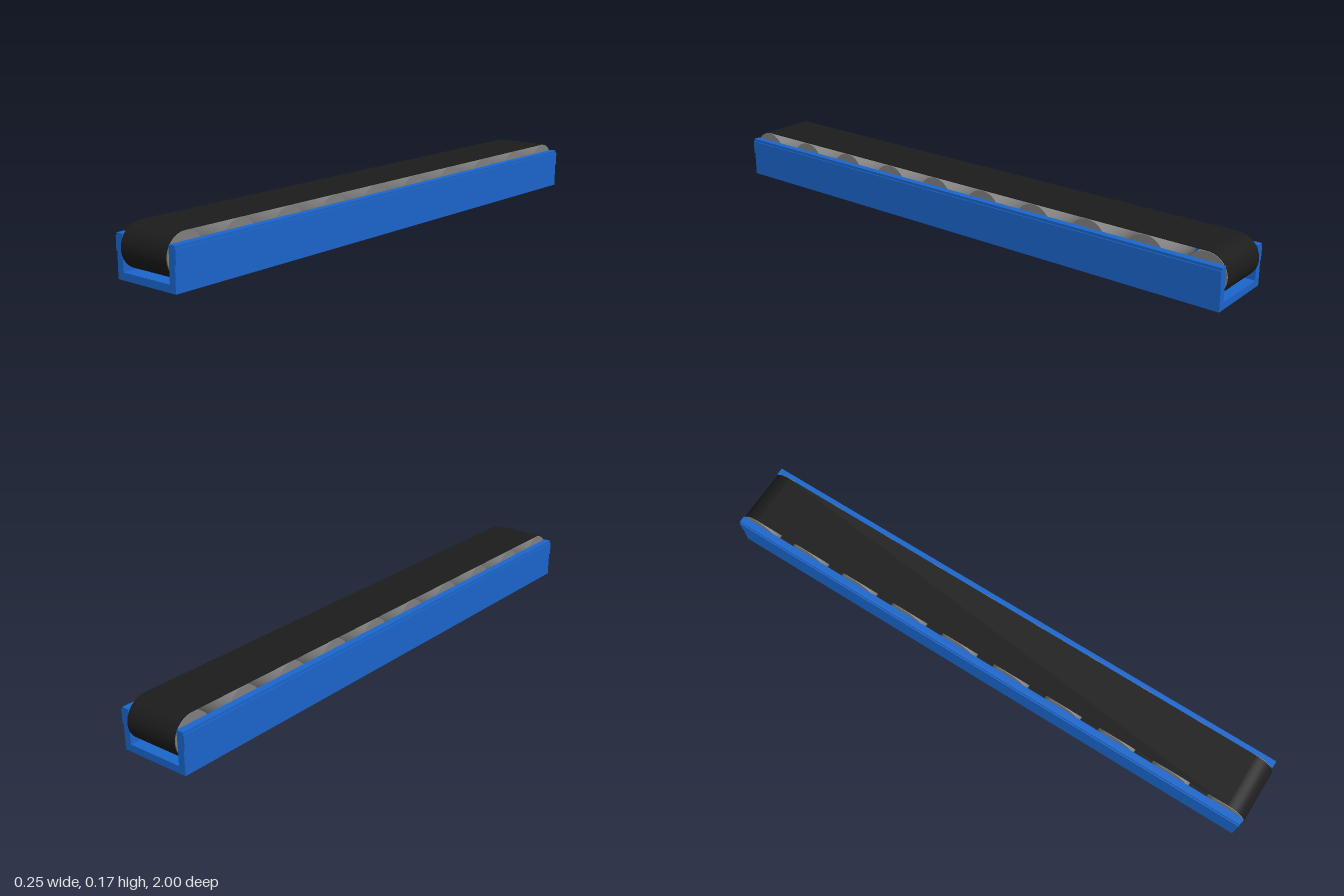
import * as THREE from 'three';

const BLUE = 0x1a66cc, BLACK = 0x1c1c1c, GREY = 0x808080;
const AXIS_Y = 0.0965, END_Z = 0.9285, BELT_R = 0.0715, BELT_T = 0.002, LENGTH = 1.984;

function addMesh(parent, name, geometry, color) {
  const mesh = new THREE.Mesh(geometry, new THREE.MeshStandardMaterial({ color }));
  mesh.name = name;
  parent.add(mesh);
  return mesh;
}

// Stadium outline in the (z, y) plane, centred on the roller axis
function stadium(target, r) {
  target.moveTo(-END_Z, -r);
  target.lineTo(END_Z, -r);
  target.absarc(END_Z, 0, r, -Math.PI / 2, Math.PI / 2, false);
  target.lineTo(-END_Z, r);
  target.absarc(-END_Z, 0, r, Math.PI / 2, Math.PI * 1.5, false);
  return target;
}

export function createModel() {
  const model = new THREE.Group();
  model.name = 'conveyor';

  // U-channel frame: floor and two walls in one profile
  const profile = new THREE.Shape();
  [[-0.123, 0], [0.123, 0], [0.123, 0.138], [0.099, 0.138],
    [0.099, 0.024], [-0.099, 0.024], [-0.099, 0.138], [-0.123, 0.138]]
    .forEach(([x, y], i) => (i ? profile.lineTo(x, y) : profile.moveTo(x, y)));
  const channel = new THREE.ExtrudeGeometry(profile, { depth: LENGTH, bevelEnabled: false });
  channel.translate(0, 0, -LENGTH / 2);
  addMesh(model, 'channelFrame', channel, BLUE);

  // Raised rails along the outside of the walls
  for (const side of [-1, 1]) {
    const rail = addMesh(model, side > 0 ? 'leftRail' : 'rightRail',
      new THREE.BoxGeometry(0.005, 0.046, LENGTH), BLUE);
    rail.position.set(side * 0.1245, 0.106, 0);
  }

  // Row of rollers
  const rollers = new THREE.Group();
  rollers.name = 'rollers';
  model.add(rollers);
  const rollerGeometry = new THREE.CylinderGeometry(0.0693, 0.0693, 0.197, 32);
  rollerGeometry.rotateZ(Math.PI / 2);
  const count = 10;
  for (let i = 0; i < count; i++) {
    const roller = addMesh(rollers, 'roller', rollerGeometry, GREY);
    roller.position.set(0, AXIS_Y, -END_Z + (2 * END_Z * i) / (count - 1));
  }

  // Thin belt looped around the rollers
  const loop = stadium(new THREE.Shape(), BELT_R);
  loop.holes.push(stadium(new THREE.Path(), BELT_R - BELT_T));
  const beltGeometry = new THREE.ExtrudeGeometry(loop,
    { depth: 0.192, bevelEnabled: false, curveSegments: 24 });
  beltGeometry.translate(0, 0, -0.096);
  beltGeometry.rotateY(Math.PI / 2);
  addMesh(model, 'belt', beltGeometry, BLACK).position.y = AXIS_Y;

  return model;
}
